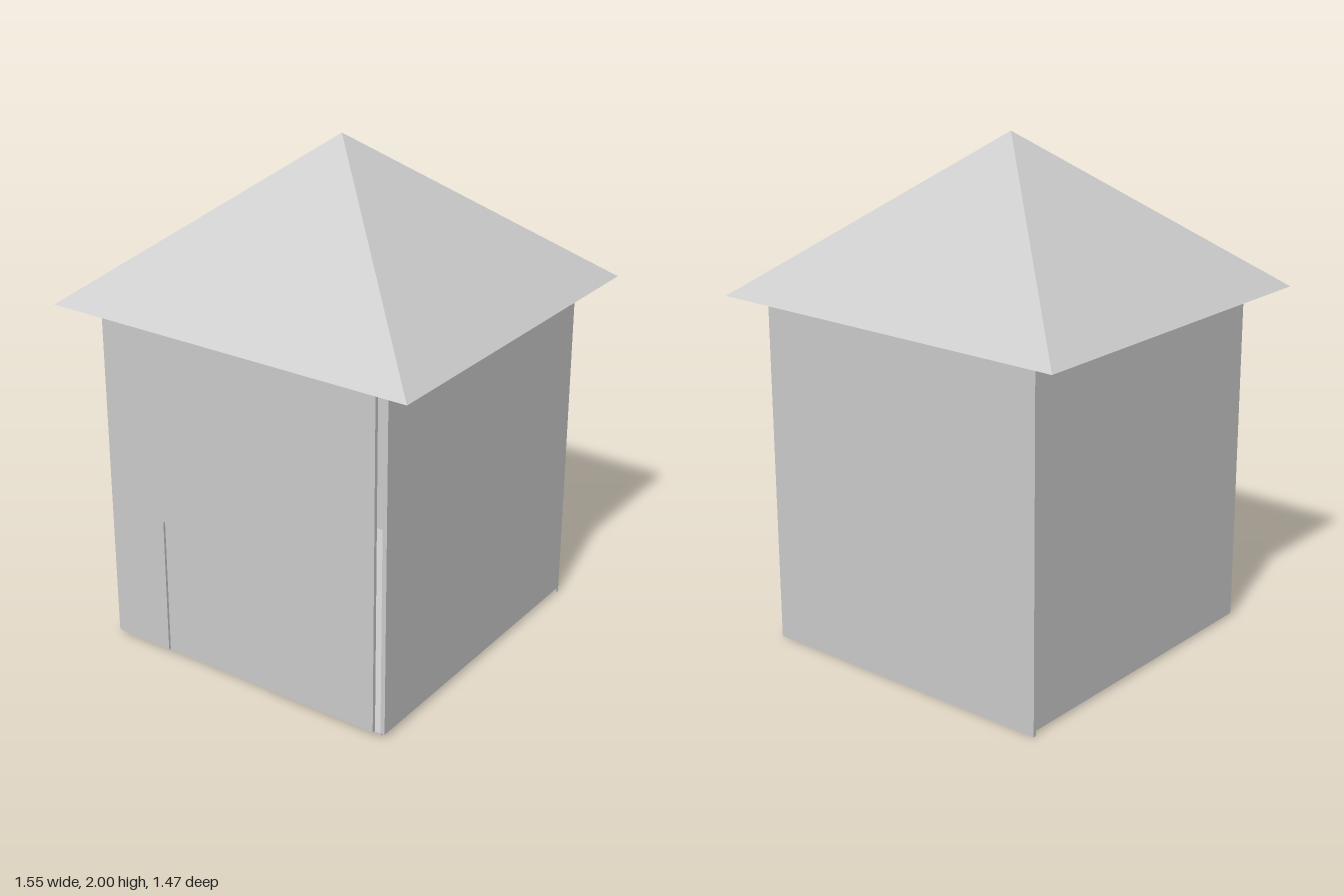
import * as THREE from 'three';

export function createModel() {
  const house = new THREE.Group();
  house.name = 'house';
  const material = new THREE.MeshStandardMaterial({ color: 0xcccccc, flatShading: true });

  function add(name, geometry) {
    const mesh = new THREE.Mesh(geometry, material);
    mesh.name = name;
    house.add(mesh);
    return mesh;
  }

  // Box given by its lower and upper corners
  function slab(name, [x0, y0, z0], [x1, y1, z1]) {
    const mesh = add(name, new THREE.BoxGeometry(x1 - x0, y1 - y0, z1 - z0));
    mesh.position.set((x0 + x1) / 2, (y0 + y1) / 2, (z0 + z1) / 2);
  }

  const eaves = 1.392;
  const base = 0.02;

  // Thin wall panels around a hollow room
  slab('floor', [-0.625, 0.012, -0.632], [0.63, base, 0.642]);
  slab('backWall', [-0.635, 0, -0.645], [0.645, eaves, -0.632]);
  slab('leftWall', [0.627, base, -0.632], [0.645, eaves, 0.642]);
  slab('rightWall', [-0.627, base, -0.632], [-0.607, eaves, 0.642]);

  // Front wall with the doorway cut out of its lower edge
  const front = new THREE.Shape([
    [-0.6, base], [-0.36, base], [-0.36, 0.583], [0.127, 0.583],
    [0.127, base], [0.602, base], [0.602, eaves], [-0.6, eaves],
  ].map(([x, y]) => new THREE.Vector2(x, y)));
  add('frontWall', new THREE.ExtrudeGeometry(front, { depth: 0.015, bevelEnabled: false }))
    .position.z = 0.64;

  // Door set slightly back in its opening
  slab('door', [-0.36, base, 0.632], [0.127, 0.583, 0.645]);

  // Four-sided pyramid roof with overhanging eaves
  const roof = new THREE.ConeGeometry(Math.SQRT1_2, 1, 4, 1);
  roof.rotateY(Math.PI / 4);
  roof.scale(1.553, 2 - eaves, 1.468);
  add('roof', roof).position.set(0, (2 + eaves) / 2, -0.002);

  return house;
}
